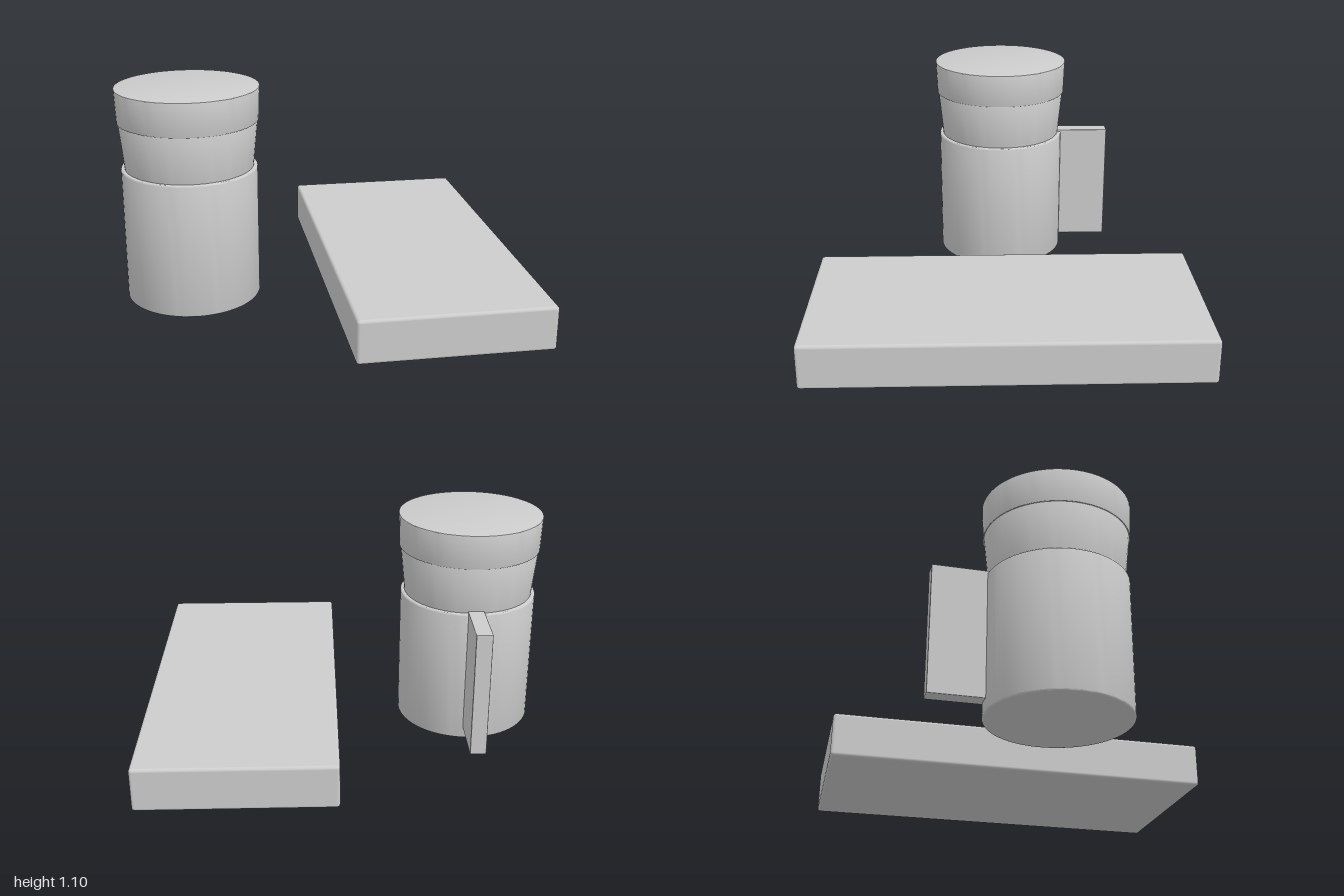
import * as THREE from 'three';
import { toCreasedNormals } from 'three/addons/utils/BufferGeometryUtils.js';
import { RoundedBoxGeometry } from 'three/addons/geometries/RoundedBoxGeometry.js';

export function createModel() {
  const model = new THREE.Group();
  const grey = new THREE.MeshStandardMaterial({ color: 0xcccccc });
  grey.name = 'light grey';

  const add = (name, geometry, x, y, z, parent = model) => {
    const mesh = new THREE.Mesh(geometry, grey);
    mesh.name = name;
    mesh.position.set(x, y, z);
    parent.add(mesh);
  };

  // Closed turned solid with softly rounded rims
  const turned = (y0, r0, y1, r1, bevel) => {
    const points = [new THREE.Vector2(0, y0)];
    const rim = (r, y, start) => {
      for (let i = 0; i <= 3; i++) {
        const a = start + (i / 3) * Math.PI / 2;
        points.push(new THREE.Vector2(r + bevel * Math.cos(a), y + bevel * Math.sin(a)));
      }
    };
    rim(r0 - bevel, y0 + bevel, -Math.PI / 2);
    rim(r1 - bevel, y1 - bevel, 0);
    points.push(new THREE.Vector2(0, y1));
    return toCreasedNormals(new THREE.LatheGeometry(points, 64), 0.6);
  };

  // Cup: straight body, flared neck, lid and flat handle at the back
  const cup = new THREE.Group();
  cup.name = 'cup';
  cup.position.x = -0.638;
  model.add(cup);
  add('cupBody', turned(0, 0.345, 0.69, 0.345, 0.008), 0, 0, 0, cup);
  add('cupNeck', turned(0.67, 0.324, 0.934, 0.35, 0.002), 0, 0, 0, cup);
  add('cupLid', turned(0.93, 0.355, 1.1, 0.361, 0.002), 0, 0, 0, cup);
  add('cupHandle', new RoundedBoxGeometry(0.08, 0.64, 0.3, 2, 0.004), 0, 0.38, -0.454, cup);

  // Flat slab beside the cup
  add('slab', new RoundedBoxGeometry(0.953, 0.222, 1.91, 4, 0.016), 0.5215, 0.111, 0);

  return model;
}
